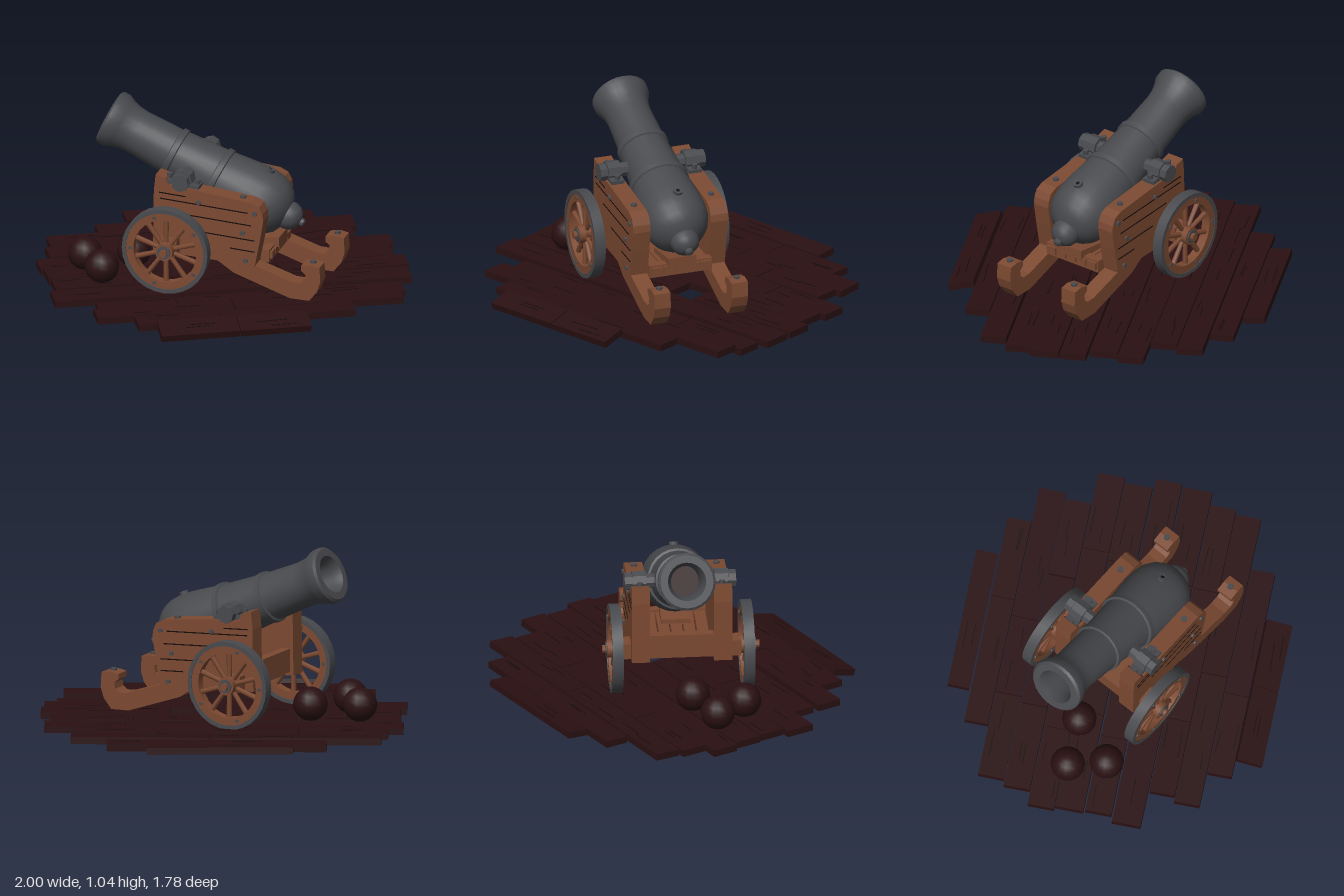
import * as THREE from 'three';
import { toCreasedNormals } from 'three/addons/utils/BufferGeometryUtils.js';

const material = (name, color) => Object.assign(new THREE.MeshStandardMaterial({ color }), { name });
const wood = material('carriage wood', 0x7c4a32);
const iron = material('iron', 0x494a4e);
const deckWood = material('dark deck wood', 0x2a1012);
const crackDark = material('crack black', 0x140a09);

function add(parent, name, geometry, mat, x = 0, y = 0, z = 0) {
  const mesh = new THREE.Mesh(geometry, mat);
  mesh.name = name;
  mesh.position.set(x, y, z);
  parent.add(mesh);
  return mesh;
}
const box = (w, h, d) => new THREE.BoxGeometry(w, h, d);
const lathe = (pts, seg) =>
  toCreasedNormals(new THREE.LatheGeometry(pts.map(p => new THREE.Vector2(p[0], p[1])), seg), 0.6);
// Cylinder lying along z
const rod = (r, len, seg) => toCreasedNormals(new THREE.CylinderGeometry(r, r, len, seg).rotateX(Math.PI / 2), 0.6);
// Rectangular ring whose axis is z
const ring = (ri, ro, w, seg) =>
  lathe([[ri, w], [ri, -w], [ro, -w], [ro, w], [ri, w]], seg).rotateX(Math.PI / 2);
// Flat outline in x and y, given thickness in z and centred on it
function slab(pts, depth) {
  const shape = new THREE.Shape(pts.map(p => new THREE.Vector2(p[0], p[1])));
  return new THREE.ExtrudeGeometry(shape, { depth, bevelEnabled: false }).translate(0, 0, -depth / 2);
}
function random(seed) {
  return () => (seed = (seed * 16807) % 2147483647) / 2147483647;
}

// Deck rows: z start, z end, centre height, tilt, then x spans of each board
const ROWS = [
  [-0.89, -0.77, 0.06, 0.08, [[-0.40, 0.40]]],
  [-0.76, -0.63, 0.05, 0, [[-0.58, 0.155], [0.16, 0.62]]],
  [-0.625, -0.48, 0.055, 0.05, [[-0.875, -0.39], [-0.385, 0.06], [0.065, 0.82]]],
  [-0.475, -0.33, 0.055, 0, [[-0.91, -0.425], [-0.42, 0.335], [0.345, 0.785]]],
  [-0.325, -0.18, 0.05, 0, [[-0.99, -0.53], [-0.525, 0.525], [0.53, 0.97]]],
  [-0.175, -0.02, 0.055, 0, [[-0.975, -0.41], [-0.405, 0.48], [0.485, 0.94]]],
  [-0.01, 0.135, 0.055, 0, [[-0.965, -0.525], [-0.52, 0.13], [0.29, 0.52], [0.525, 0.995]]],
  [0.145, 0.305, 0.05, 0, [[-1.0, -0.30], [-0.295, 0.42], [0.425, 0.98]]],
  [0.31, 0.45, 0.03, 0, [[-0.78, -0.345], [-0.34, 0.42], [0.425, 0.915]]],
  [0.455, 0.597, 0.055, 0, [[-0.82, -0.06], [-0.055, 0.88]]],
  [0.602, 0.735, 0.055, 0, [[-0.62, -0.15], [-0.145, 0.585]]],
  [0.74, 0.885, 0.06, 0.25, [[-0.52, -0.085], [-0.08, 0.31]]],
];

function makeDeck() {
  const deck = new THREE.Group();
  deck.name = 'deck';
  const rnd = random(7);
  for (const [z0, z1, y, tilt, spans] of ROWS) {
    for (const [x0, x1] of spans) {
      const len = x1 - x0, wide = z1 - z0;
      const board = add(deck, 'deckBoard', box(len, 0.038, wide), deckWood, (x0 + x1) / 2, y, (z0 + z1) / 2);
      board.rotation.set(tilt, 0, (rnd() - 0.5) * 0.015);
      // Short cracks lying on the board
      for (let i = 0; i < 2; i++) {
        const crack = add(board, 'boardCrack', box(0.08 + rnd() * 0.1, 0.002, 0.005), crackDark,
          (rnd() - 0.5) * len * 0.6, 0.0195, (rnd() - 0.5) * wide * 0.7);
        crack.rotation.y = (rnd() - 0.5) * 0.1;
      }
    }
  }
  return deck;
}

function makeBarrel() {
  const barrel = new THREE.Group();
  barrel.name = 'barrel';
  // Bore, flared muzzle, two bands, round breech and knob
  add(barrel, 'barrelBody', lathe([
    [0.085, 0.3], [0.085, 0.05], [0.105, 0.0], [0.145, 0.0], [0.158, 0.012], [0.157, 0.05], [0.14, 0.085],
    [0.128, 0.13], [0.124, 0.18], [0.132, 0.395], [0.144, 0.4], [0.144, 0.43], [0.136, 0.435],
    [0.155, 0.665], [0.168, 0.67], [0.168, 0.70], [0.16, 0.705], [0.18, 0.86], [0.184, 0.94],
    [0.178, 1.0], [0.158, 1.05], [0.125, 1.09], [0.078, 1.115], [0.08, 1.13], [0.07, 1.165], [0.045, 1.19],
    [0.022, 1.198], [0.022, 1.215], [0.012, 1.222], [0, 1.222]], 24), iron);
  add(barrel, 'boreEnd', new THREE.CircleGeometry(0.086, 16).rotateX(Math.PI / 2), deckWood, 0, 0.299, 0);
  // Vent on top of the breech
  const vent = add(barrel, 'vent', ring(0.012, 0.026, 0.012, 12), iron, 0.186, 0.925, 0);
  vent.rotation.y = Math.PI / 2;
  const ventHole = add(barrel, 'ventHole', new THREE.CircleGeometry(0.013, 10), crackDark, 0.191, 0.925, 0);
  ventHole.rotation.y = Math.PI / 2;
  barrel.children.slice(2).forEach(m => { m.position.x *= -1; m.rotation.y *= -1; });
  barrel.position.set(-0.645, 0.912, 0);
  barrel.rotation.z = -(Math.PI / 2 + 0.422);
  return barrel;
}

function makeWheel() {
  const wheel = new THREE.Group();
  wheel.name = 'wheel';
  add(wheel, 'tyre', ring(0.222, 0.245, 0.03, 28), iron);
  add(wheel, 'rim', ring(0.18, 0.224, 0.026, 28), wood);
  add(wheel, 'hub', rod(0.05, 0.09, 12), wood);
  add(wheel, 'hubBand', rod(0.038, 0.104, 12), iron);
  add(wheel, 'axleEnd', rod(0.022, 0.14, 8), wood);
  for (let i = 0; i < 10; i++) {
    const a = (i + 0.5) * Math.PI / 5;
    const spoke = add(wheel, 'spoke', new THREE.CylinderGeometry(0.016, 0.013, 0.15, 6), wood,
      Math.cos(a) * 0.115, Math.sin(a) * 0.115, 0);
    spoke.rotation.z = a - Math.PI / 2;
    // Rim joints and rivets, seen on both faces
    const b = a + Math.PI / 10;
    for (const s of [-1, 1]) {
      if (i % 2) continue;
      add(wheel, 'rimRivet', rod(0.01, 0.01, 6), iron, Math.cos(b) * 0.2, Math.sin(b) * 0.2, s * 0.028);
    }
  }
  return wheel;
}

// One side of the carriage; side is +1 or -1
function makeSide(side) {
  const g = new THREE.Group();
  g.name = side > 0 ? 'carriageLeftSide' : 'carriageRightSide';
  const z = side * 0.225, out = side * 0.277;
  add(g, 'cheek', slab([[-0.31, 0.27], [0.10, 0.25], [0.27, 0.235], [0.30, 0.39], [0.32, 0.51], [0.315, 0.55],
    [0.295, 0.59], [0.25, 0.612], [-0.08, 0.65], [-0.22, 0.66], [-0.24, 0.70], [-0.295, 0.715], [-0.305, 0.62]], 0.1), wood, 0, 0, z);
  add(g, 'tail', slab([[0.06, 0.25], [0.15, 0.19], [0.47, 0.078], [0.58, 0.075], [0.625, 0.13], [0.645, 0.19],
    [0.64, 0.275], [0.59, 0.285], [0.535, 0.275], [0.535, 0.245], [0.56, 0.225], [0.555, 0.19], [0.53, 0.172],
    [0.48, 0.175], [0.27, 0.245]], 0.094), wood, 0, 0, z);
  // Grooves between the cheek timbers
  for (const [x, y, len] of [[-0.02, 0.565, 0.5], [0.05, 0.49, 0.4], [0.12, 0.40, 0.3], [-0.2, 0.61, 0.15], [0.2, 0.33, 0.14]])
    add(g, 'woodGroove', box(len, 0.006, 0.006), crackDark, x, y, side * 0.274).rotation.z = -0.06;
  // Bolts
  for (const [x, y] of [[0.22, 0.27], [0.2, 0.43], [-0.05, 0.58], [0.27, 0.55]])
    add(g, 'sideBolt', rod(0.014, 0.016, 6), iron, x, y, out);
  for (const [x, y] of [[0.19, 0.622], [0.59, 0.287]])
    add(g, 'topBolt', new THREE.CylinderGeometry(0.018, 0.018, 0.016, 6), iron, x, y, z);
  // Trunnion with its clamp
  const clamp = new THREE.Group();
  clamp.name = 'trunnionClamp';
  clamp.position.set(-0.15, 0.69, z);
  clamp.rotation.z = -0.12;
  add(clamp, 'trunnion', rod(0.04, 0.22, 8), iron, 0, 0, -side * 0.03);
  add(clamp, 'clampCap', rod(0.058, 0.075, 8), iron);
  add(clamp, 'clampRim', ring(0.03, 0.05, 0.02, 8), iron, 0, 0, side * 0.06);
  add(clamp, 'clampPlate', box(0.2, 0.022, 0.075), iron, 0, -0.022, 0);
  for (const x of [-0.08, 0.08])
    add(clamp, 'clampBolt', new THREE.CylinderGeometry(0.016, 0.016, 0.03, 6), iron, x, 0, 0);
  g.add(clamp);
  const wheel = makeWheel();
  wheel.position.set(-0.208, 0.315, side * 0.36);
  g.add(wheel);
  return g;
}

export function createModel() {
  const model = new THREE.Group();
  model.name = 'cannonOnDeck';
  model.add(makeDeck());

  // Cannon balls
  for (const [x, z] of [[-0.75, -0.15], [-0.695, 0.055], [-0.48, -0.14]])
    add(model, 'cannonBall', new THREE.SphereGeometry(0.095, 14, 10), deckWood, x, 0.16, z);

  // Cannon and carriage, turned on the deck
  const cannon = new THREE.Group();
  cannon.name = 'cannon';
  const turn = 28 * Math.PI / 180;
  cannon.rotation.y = -turn;
  cannon.position.set(-Math.sin(turn) * 0.058, 0, Math.cos(turn) * 0.058);
  model.add(cannon);
  cannon.add(makeBarrel(), makeSide(1), makeSide(-1));

  // Cross timbers between the sides
  add(cannon, 'axleBeam', box(0.1, 0.09, 0.66), wood, -0.208, 0.315, 0);
  add(cannon, 'frontTransom', box(0.05, 0.13, 0.36), wood, -0.265, 0.355, 0);
  add(cannon, 'rearTransom', box(0.05, 0.07, 0.36), wood, 0.3, 0.27, 0);
  for (let i = 0; i < 5; i++)
    add(cannon, 'bedSlat', box(0.5, 0.04, 0.062), wood, 0.09, 0.275, (i - 2) * 0.07);
  add(cannon, 'elevatingWedge', slab([[0.12, 0.29], [0.35, 0.29], [0.35, 0.345], [0.12, 0.32]], 0.16), wood);
  return model;
}
